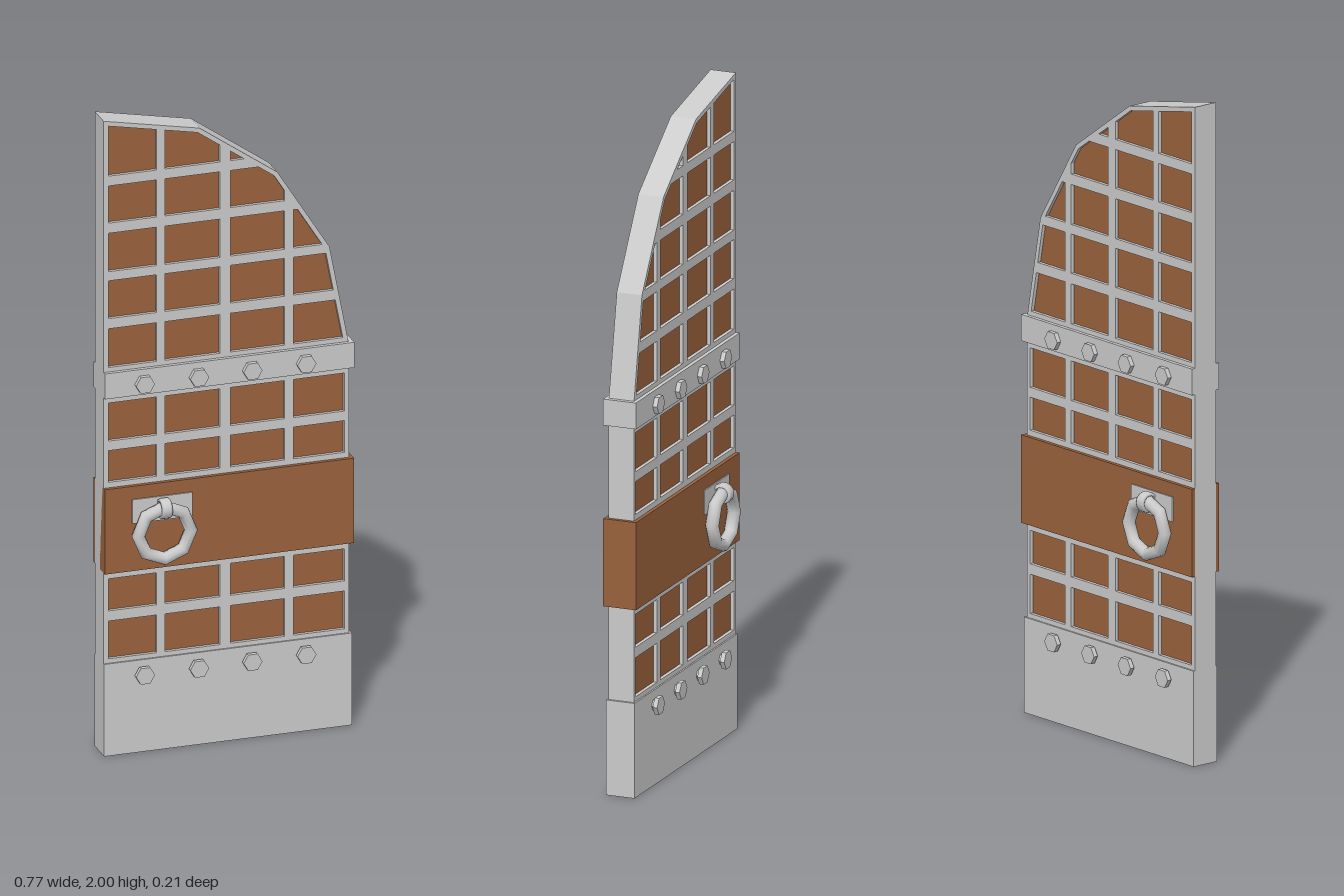
import * as THREE from 'three';

const iron = new THREE.MeshStandardMaterial({ color: 0xcccccc, flatShading: true });
const smoothIron = new THREE.MeshStandardMaterial({ color: 0xcccccc });
const wood = new THREE.MeshStandardMaterial({ color: 0x9a623c, flatShading: true });

// Door outline, counter-clockwise
const OUTLINE = [[-0.385, 0], [0.37, 0], [0.37, 1.2], [0.31, 1.515], [0.15, 1.77], [-0.09, 1.94], [-0.385, 2]];

// Keep the part of a convex polygon that lies inside the outline, inset by a margin
function clipToOutline(poly, inset) {
  OUTLINE.forEach((a, i) => {
    const b = OUTLINE[(i + 1) % OUTLINE.length];
    const dx = b[0] - a[0], dy = b[1] - a[1], len = Math.hypot(dx, dy);
    const dist = (p) => (dx * (p[1] - a[1]) - dy * (p[0] - a[0])) / len - inset;
    const out = [];
    poly.forEach((p, j) => {
      const q = poly[(j + 1) % poly.length], dp = dist(p), dq = dist(q);
      if (dp >= 0) out.push(p);
      if (dp * dq < 0) {
        const t = dp / (dp - dq);
        out.push([p[0] + (q[0] - p[0]) * t, p[1] + (q[1] - p[1]) * t]);
      }
    });
    poly = out;
  });
  return poly;
}

const rect = (x0, x1, y0, y1) => [[x0, y0], [x1, y0], [x1, y1], [x0, y1]];
const points = (poly) => poly.map(([x, y]) => new THREE.Vector2(x, y));

function slab(shape, depth) {
  return new THREE.ExtrudeGeometry(shape, { depth, bevelEnabled: false }).translate(0, 0, -depth / 2);
}

export function createModel() {
  const door = new THREE.Group();
  door.name = 'door';

  function add(name, geometry, material, x = 0, y = 0, z = 0, parent = door) {
    const mesh = new THREE.Mesh(geometry, material);
    mesh.name = name;
    mesh.position.set(x, y, z);
    parent.add(mesh);
    return mesh;
  }
  function band(name, x0, x1, y0, y1, depth, material) {
    add(name, new THREE.BoxGeometry(x1 - x0, y1 - y0, depth), material, (x0 + x1) / 2, (y0 + y1) / 2);
  }

  // Iron lattice with openings cut along the arched edge
  const columns = [[-0.37, -0.222], [-0.196, -0.027], [0.005, 0.172], [0.2, 0.357]];
  const rows = [[0.304, 0.423], [0.455, 0.556], [0.86, 0.96], [0.99, 1.11], [1.222, 1.344],
    [1.376, 1.495], [1.524, 1.645], [1.677, 1.794], [1.825, 2]];
  const lattice = new THREE.Shape(points(OUTLINE));
  for (const [x0, x1] of columns) {
    for (const [y0, y1] of rows) {
      const cell = clipToOutline(rect(x0, x1, y0, y1), 0.014);
      if (cell.length > 2) lattice.holes.push(new THREE.Path(points(cell)));
    }
  }
  add('ironLattice', slab(lattice, 0.08), iron);

  // Wooden core seen through the lattice
  add('woodPanel', slab(new THREE.Shape(points(clipToOutline(rect(-0.4, 0.4, 0, 2), 0.006))), 0.058), wood);

  // Cross bands and kick plate
  band('upperBand', -0.385, 0.383, 1.128, 1.208, 0.104, iron);
  band('woodBand', -0.385, 0.382, 0.576, 0.843, 0.104, wood);
  band('kickPlate', -0.385, 0.378, 0, 0.29, 0.09, iron);

  // Shared hardware geometry
  const boltHead = new THREE.CylinderGeometry(0.029, 0.029, 0.014, 6).rotateY(Math.PI / 6 * 3).rotateX(Math.PI / 2);
  const boltShank = new THREE.CylinderGeometry(0.018, 0.018, 0.03, 6).rotateY(Math.PI / 2).rotateX(Math.PI / 2);
  const plate = new THREE.BoxGeometry(0.185, 0.075, 0.012);
  const ring = new THREE.TorusGeometry(0.081, 0.02, 10, 8);
  const staple = new THREE.LatheGeometry(
    [[0.021, -0.016], [0.028, -0.016], [0.031, -0.01], [0.031, 0.01], [0.028, 0.016], [0.021, 0.016], [0.021, -0.016]]
      .map(([r, h]) => new THREE.Vector2(r, h)), 14).rotateZ(Math.PI / 2);

  for (const side of [1, -1]) {
    const face = side > 0 ? 'front' : 'back';

    // Two rows of hexagonal bolts
    for (const y of [1.163, 0.246]) {
      for (const x of [-0.265, -0.098, 0.066, 0.232]) {
        const bolt = new THREE.Group();
        bolt.name = face + 'Bolt';
        bolt.position.set(x, y, 0);
        door.add(bolt);
        add('boltHead', boltHead, iron, 0, 0, side * 0.06, bolt);
        add('boltShank', boltShank, iron, 0, 0, side * 0.045, bolt);
      }
    }

    // Pull ring hanging from a staple on a back plate
    const handle = new THREE.Group();
    handle.name = face + 'Handle';
    handle.position.set(-0.209, 0, 0);
    door.add(handle);
    add('handlePlate', plate, iron, 0, 0.7645, side * 0.05, handle);
    add('pullRing', ring, smoothIron, 0, 0.694, side * 0.075, handle);
    add('ringStaple', staple, smoothIron, 0, 0.771, side * 0.075, handle);
  }
  return door;
}
